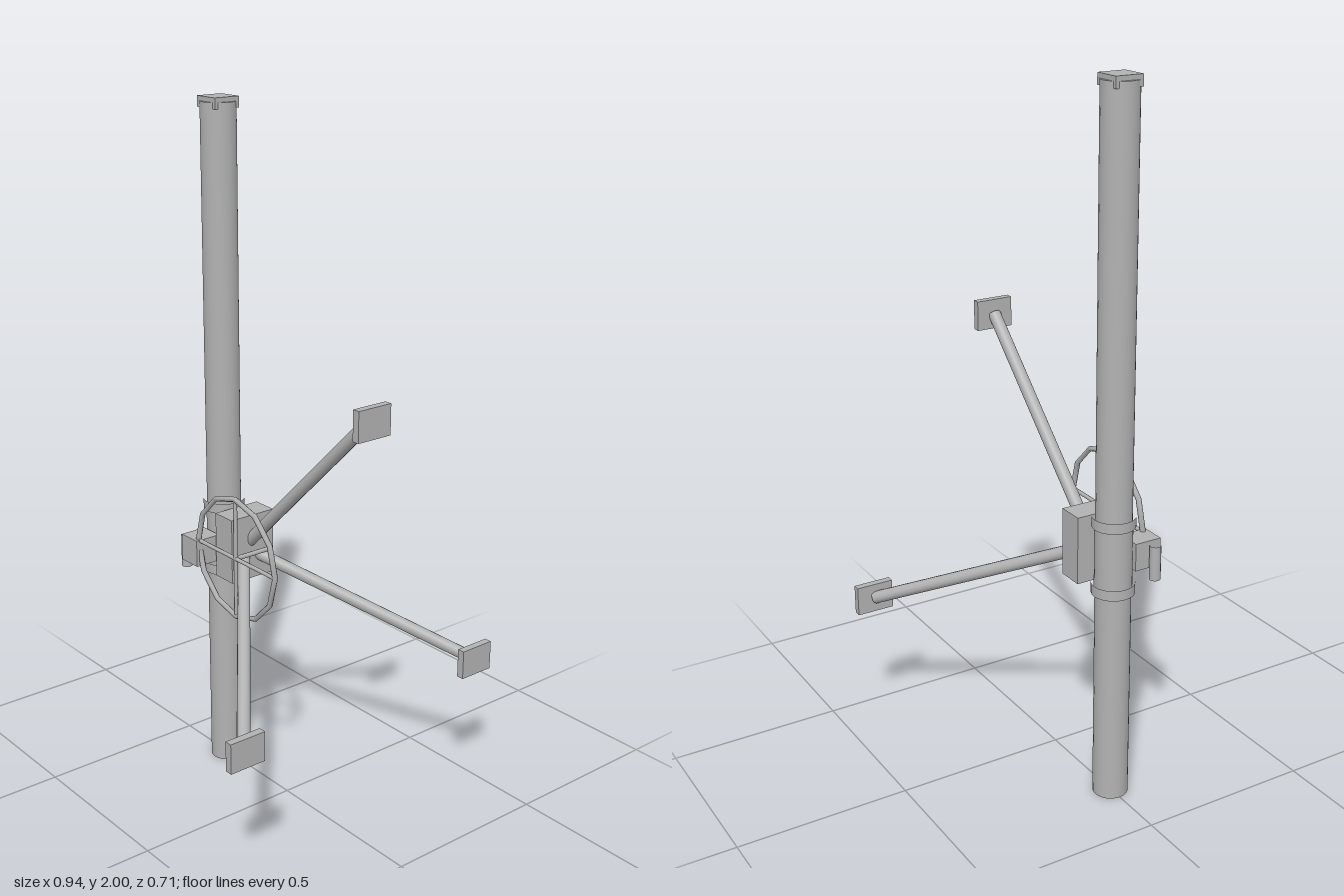
import * as THREE from 'three';

export function createModel() {
  const model = new THREE.Group();
  const grey = new THREE.MeshStandardMaterial({ color: 0xb2b2b2 });
  grey.name = 'plain grey';
  const V = (x, y, z) => new THREE.Vector3(x, y, z);

  const add = (name, geometry, x = 0, y = 0, z = 0) => {
    const mesh = new THREE.Mesh(geometry, grey);
    mesh.name = name;
    mesh.position.set(x, y, z);
    model.add(mesh);
    return mesh;
  };
  // Box given by its centre and size
  const box = (name, x, y, z, w, h, d) => add(name, new THREE.BoxGeometry(w, h, d), x, y, z);
  // Round bar between two points
  const rod = (name, a, b, r, sides) => {
    const dir = b.clone().sub(a);
    const mid = a.clone().add(b).multiplyScalar(0.5);
    const mesh = add(name, new THREE.CylinderGeometry(r, r, dir.length(), sides), mid.x, mid.y, mid.z);
    mesh.quaternion.setFromUnitVectors(V(0, 1, 0), dir.normalize());
    return mesh;
  };
  // Upright open sleeve
  const sleeve = (name, x, z, r, y0, y1, sides) =>
    add(name, new THREE.CylinderGeometry(r, r, y1 - y0, sides, 1, true), x, (y0 + y1) / 2, z);

  // Long upright tube with a recessed lower end and a square top block
  const tubeZ = -0.295;
  sleeve('mainTube', 0, tubeZ, 0.05, 0, 1.987, 24);
  add('tubeTopDisc', new THREE.CircleGeometry(0.05, 24), 0, 1.987, tubeZ).rotation.x = -Math.PI / 2;
  add('tubeBottomDisc', new THREE.CircleGeometry(0.05, 24), 0, 0.025, tubeZ).rotation.x = Math.PI / 2;
  box('topBlock', 0, 1.985, tubeZ, 0.08, 0.03, 0.08);

  // Clamp sleeve and its two collars
  sleeve('clampSleeve', 0, tubeZ, 0.052, 0.64, 0.84, 24);
  for (const y of [0.64, 0.835]) sleeve('clampCollar', 0, tubeZ, 0.06, y - 0.015, y + 0.015, 24);

  // Mount block in front of the tube
  box('mountBlock', 0, 0.738, -0.197, 0.15, 0.195, 0.077);

  // Three legs spreading from the mount, each with a square foot plate
  for (const [x, y] of [[-0.414, 0.442], [0.414, 0.442], [0, 1.243]]) {
    rod('leg', V(0, 0.725, -0.2), V(x, y, 0.335), 0.018, 12);
    box('footPlate', x, y, 0.344, 0.11, 0.086, 0.022);
  }

  // Side handwheel: rim, crossed spokes and axle
  const wx = -0.12, wy = 0.757, wz = -0.081, wr = 0.178;
  add('wheelRim', new THREE.TorusGeometry(wr, 0.008, 6, 12), wx, wy, wz).rotation.y = Math.PI / 2;
  rod('wheelSpoke', V(wx, wy - wr, wz), V(wx, wy + wr, wz), 0.006, 8);
  rod('wheelSpoke', V(wx, wy, wz - wr), V(wx, wy, wz + wr), 0.006, 8);
  rod('wheelAxle', V(wx, wy, wz), V(0, wy, wz), 0.007, 8);

  // Side bracket box and upright grip behind it
  box('sideBracket', -0.096, 0.72, -0.283, 0.08, 0.08, 0.073);
  sleeve('sideGrip', -0.11, -0.333, 0.016, 0.65, 0.75, 12);

  return model;
}
